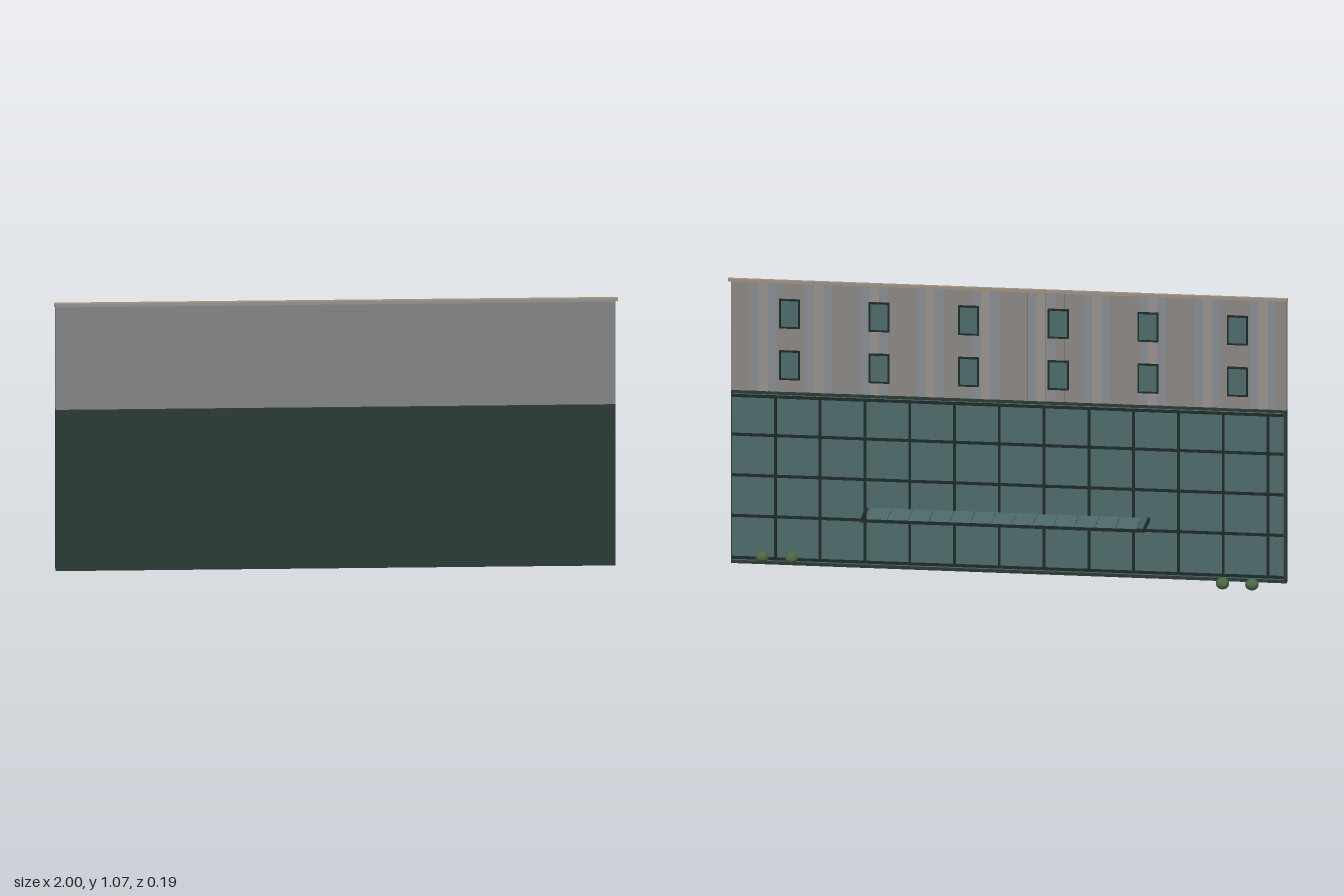
import * as THREE from 'three';

const mat = (name, color, extra) => {
  const m = new THREE.MeshStandardMaterial({ color, ...extra });
  m.name = name;
  return m;
};

export function createModel() {
  const root = new THREE.Group();
  root.name = 'buildingFacade';

  const darkGreen = mat('darkGreenWall', 0x2c3a35);
  const frameDark = mat('darkFrame', 0x1e2a28);
  const glass = mat('tealGlass', 0x4f6a6b);
  const grey = mat('greyWall', 0x818485);
  const claddings = [
    mat('warmGreyCladding', 0x8a8683),
    mat('coolGreyCladding', 0x878b90),
    mat('lightGreyCladding', 0x97918c),
  ];
  const tan = mat('tanTrim', 0x9c9080);
  const leaf = mat('bushGreen', 0x4c6644);

  // Box given by its minimum and maximum corners
  const box = (name, m, x0, x1, y0, y1, z0, z1, parent = root) => {
    const mesh = new THREE.Mesh(new THREE.BoxGeometry(x1 - x0, y1 - y0, z1 - z0), m);
    mesh.position.set((x0 + x1) / 2, (y0 + y1) / 2, (z0 + z1) / 2);
    mesh.name = name;
    parent.add(mesh);
    return mesh;
  };
  const group = (name) => {
    const g = new THREE.Group();
    g.name = name;
    root.add(g);
    return g;
  };

  const L = -0.995, R = 0.99;

  // Main wall slabs and roof trim
  box('lowerWall', darkGreen, L, R, 0.02, 0.66, 0.07, 0.095);
  box('upperWall', grey, L, R, 0.66, 1.068, 0.072, 0.09);
  box('roofTrim', tan, -1, 1, 1.062, 1.073, 0.062, 0.074);

  // Vertical cladding boards in three repeating-but-uneven shades
  const cladding = group('cladding');
  const boards = 60, bw = (R - L) / boards;
  for (let i = 0; i < boards; i++) {
    const x = L + i * bw;
    const shade = claddings[(i * i + (i >> 1)) % 3];
    box('claddingBoard', shade, x, x + bw, 0.66, 1.062, i % 2 ? 0.069 : 0.0675, 0.0725, cladding);
  }

  // Upper windows: two rows of six
  const windows = group('windows');
  for (let i = 0; i < 6; i++) {
    const x = -0.82 + 0.32 * i;
    for (const y of [0.76, 0.95]) {
      const w = 0.037, h = 0.054, t = 0.006;
      box('windowGlass', glass, x - w + t, x + w - t, y - h + t, y + h - t, 0.063, 0.069, windows);
      for (const s of [-1, 1]) {
        const px = x + s * (w - t / 2), py = y + s * (h - t / 2);
        box('windowJamb', frameDark, px - t / 2, px + t / 2, y - h, y + h, 0.06, 0.07, windows);
        box('windowRail', frameDark, x - w + t, x + w - t, py - t / 2, py + t / 2, 0.06, 0.07, windows);
      }
    }
  }

  // Curtain wall: glass sheet with a grid of mullions
  const curtain = group('curtainWall');
  box('curtainGlass', glass, -0.985, 0.985, 0.035, 0.648, 0.061, 0.07, curtain);
  for (let i = 0; i < 12; i++) {
    const x = -0.93 + 0.16 * i;
    box('mullion', frameDark, x - 0.005, x + 0.005, 0.04, 0.645, 0.058, 0.062, curtain);
  }
  for (const y of [0.045, 0.2, 0.35, 0.5, 0.643]) {
    box('transom', frameDark, -0.985, 0.985, y - 0.005, y + 0.005, 0.056, 0.0625, curtain);
  }

  // Entrance canopy: frame on three sides, glass panels between
  const canopy = group('canopy');
  box('canopyFrontBar', frameDark, -0.508, 0.508, 0.237, 0.247, -0.095, -0.087, canopy);
  for (const s of [-1, 1]) {
    box('canopySideBar', frameDark, s * 0.504 - 0.004, s * 0.504 + 0.004, 0.237, 0.247, -0.087, 0.061, canopy);
  }
  const panels = 13, pw = 0.965 / panels;
  for (let i = 0; i < panels; i++) {
    const x = -0.478 + i * pw;
    box('canopyPanel', glass, x + 0.001, x + pw - 0.001, 0.241, 0.246, -0.087, 0.061, canopy);
  }

  // Round bushes; the pair on the left stands higher
  const bushGeo = new THREE.SphereGeometry(0.024, 16, 12);
  for (const s of [-1, 1]) {
    for (const x of [0.77, 0.875]) {
      const bush = new THREE.Mesh(bushGeo, leaf);
      bush.name = 'bush';
      bush.scale.y = 0.88;
      bush.position.set(s * x, s > 0 ? 0.057 : 0.0212, 0.038);
      root.add(bush);
    }
  }
  return root;
}
